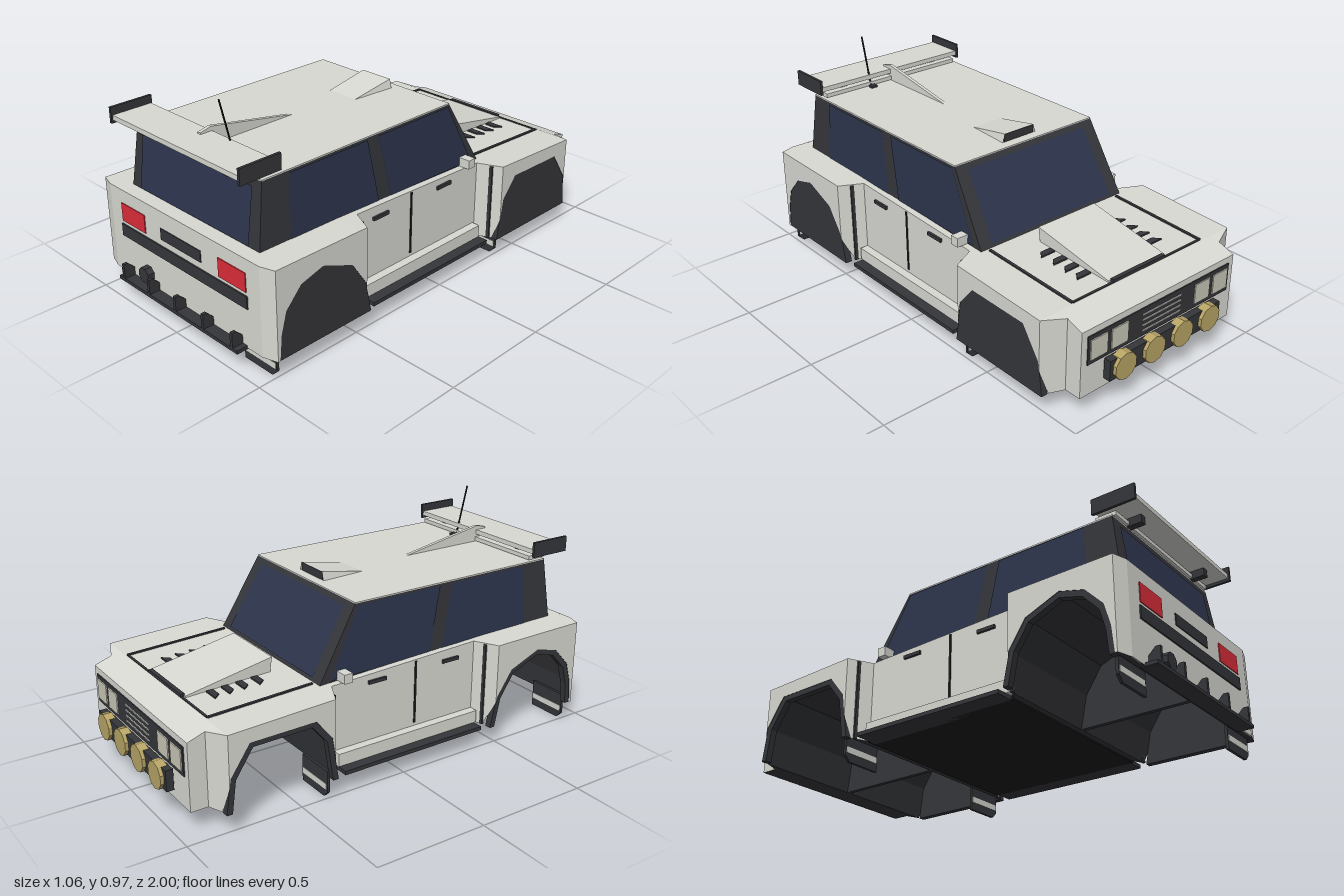
import * as THREE from 'three';

const paint = (color, extra = {}) => new THREE.MeshStandardMaterial({ color, flatShading: true, ...extra });

export function createModel() {
  const model = new THREE.Group();
  const body = paint(0xd9d9d3, { side: THREE.DoubleSide });
  const dark = paint(0x35363a, { side: THREE.DoubleSide });
  const black = paint(0x1b1b1d);
  const glass = paint(0x2d354d, { side: THREE.DoubleSide });
  const red = paint(0xdc2d3a);
  const lampGlass = paint(0xc9c8b8);
  const amber = paint(0xb8a566);

  const add = (name, geometry, material) => {
    const mesh = new THREE.Mesh(geometry, material);
    mesh.name = name;
    model.add(mesh);
    return mesh;
  };
  // box given by its extents
  const box = (name, x0, x1, y0, y1, z0, z1, material) => {
    const mesh = add(name, new THREE.BoxGeometry(x1 - x0, y1 - y0, z1 - z0), material);
    mesh.position.set((x0 + x1) / 2, (y0 + y1) / 2, (z0 + z1) / 2);
    return mesh;
  };
  // quads between consecutive rows of points
  const loft = (name, rows, material) => {
    const p = [];
    for (let i = 0; i + 1 < rows.length; i++) {
      for (let j = 0; j + 1 < rows[i].length; j++) {
        const a = rows[i][j], b = rows[i][j + 1], c = rows[i + 1][j + 1], d = rows[i + 1][j];
        p.push(...a, ...b, ...c, ...a, ...c, ...d);
      }
    }
    const g = new THREE.BufferGeometry();
    g.setAttribute('position', new THREE.Float32BufferAttribute(p, 3));
    g.computeVertexNormals();
    return add(name, g, material);
  };
  const toShape = (pts) => new THREE.Shape(pts.map(([x, y]) => new THREE.Vector2(x, y)));
  const extrude = (pts, depth) => new THREE.ExtrudeGeometry(toShape(pts), { depth, bevelEnabled: false });
  // side profile of [z, y] points, extruded across x
  const prism = (name, pts, x0, x1, material) =>
    add(name, extrude(pts, x1 - x0).rotateY(-Math.PI / 2).translate(x1, 0, 0), material);
  const interp = (keys) => (z) => {
    let i = 0;
    while (i < keys.length - 2 && z > keys[i + 1][0]) i++;
    const [[z0, v0], [z1, v1]] = [keys[i], keys[i + 1]];
    return v0 + (v1 - v0) * (z - z0) / (z1 - z0);
  };

  // Lower body: half width, top and wheel-arch bottom along its length
  const frontArch = [[-0.845, 0.09], [-0.825, 0.24], [-0.74, 0.365], [-0.45, 0.37], [-0.375, 0.28], [-0.345, 0.09]];
  const rearArch = [[0.445, 0.09], [0.475, 0.23], [0.55, 0.34], [0.7, 0.4], [0.81, 0.37], [0.885, 0.29], [0.91, 0.2], [0.92, 0.09]];
  const widthKeys = [[-0.945, 0.43], [-0.87, 0.43], [-0.83, 0.53], [-0.36, 0.53], [-0.31, 0.425],
    [0.42, 0.425], [0.47, 0.53], [0.93, 0.53], [0.95, 0.465]];
  const topKeys = [[-0.945, 0.38], [-0.83, 0.42], [-0.36, 0.44], [0.5, 0.47], [0.95, 0.475]];
  const bottomKeys = [[-0.945, 0.09], ...frontArch, ...rearArch, [0.95, 0.09]];
  const width = interp(widthKeys), top = interp(topKeys), bottom = interp(bottomKeys);
  const stations = [...new Set([...widthKeys, ...topKeys, ...bottomKeys].map((k) => k[0]))].sort((a, b) => a - b);
  loft('bodyShell', stations.map((z) => {
    const w = width(z), t = top(z), b = bottom(z);
    return [[w, b, z], [w, t, z], [-w, t, z], [-w, b, z]].reverse();
  }), body);
  loft('underbody', stations.map((z) => [[width(z), bottom(z), z], [-width(z), bottom(z), z]]), dark);
  box('noseFace', -0.43, 0.43, 0.09, 0.38, -0.945, -0.94, body);
  box('tailFace', -0.465, 0.465, 0.09, 0.475, 0.945, 0.95, body);
  box('floor', -0.43, 0.43, 0.083, 0.1, -0.31, 0.42, black);

  // Wheel wells and their trim
  for (const arch of [frontArch, rearArch]) {
    prism('wheelWellWall', arch, -0.01, 0.01, dark);
    const mid = (arch[0][0] + arch[arch.length - 1][0]) / 2;
    const inner = arch.map(([z, y]) => [mid + (z - mid) * 0.9, 0.09 + (y - 0.09) * 0.92]);
    for (const x of [-0.528, 0.498]) prism('archTrim', [...arch, ...inner.reverse()], x, x + 0.03, dark);
  }

  // Cabin
  const ring = (x, y0, z0, y1, z1) => [[x, y0, z0], [-x, y0, z0], [-x, y1, z1], [x, y1, z1], [x, y0, z0]];
  loft('cabin', [ring(0.395, 0.43, -0.351, 0.465, 0.886), ring(0.378, 0.742, -0.166, 0.742, 0.85)], dark);
  box('roof', -0.378, 0.378, 0.738, 0.747, -0.166, 0.85, body);
  const sideX = (y) => 0.399 - (y - 0.44) * 0.055;
  const frontZ = (y) => -0.35 + (y - 0.44) * 0.6;
  const rearZ = (y) => 0.889 - (y - 0.475) * 0.13;
  const pane = (name, pts) => loft(name, [[pts[0], pts[1]], [pts[3], pts[2]]], glass);
  pane('windshield', [[0.335, 0.455], [-0.335, 0.455], [-0.32, 0.722], [0.32, 0.722]].map(([x, y]) => [x, y, frontZ(y)]));
  pane('rearWindow', [[-0.335, 0.478], [0.335, 0.478], [0.335, 0.712], [-0.335, 0.712]].map(([x, y]) => [x, y, rearZ(y)]));
  for (const s of [-1, 1]) {
    const panes = [
      [[0.735, 0.473], [0.27, 0.463], [0.32, 0.735], [0.725, 0.735]],
      [[0.2, 0.461], [-0.3, 0.449], [-0.155, 0.735], [0.26, 0.735]],
    ];
    for (const pts of panes) {
      const q = pts.map(([z, y]) => [s * sideX(y), y, z]);
      pane('sideWindow', s > 0 ? q : q.reverse());
    }
  }

  // Doors, sills, mirrors, mud flaps
  for (const s of [-1, 1]) {
    const sideBox = (name, x0, x1, ...rest) => box(name, Math.min(s * x0, s * x1), Math.max(s * x0, s * x1), ...rest);
    sideBox('doorSeam', 0.42, 0.428, 0.17, 0.45, 0.103, 0.113, black);
    for (const z of [-0.34, 0.445]) {
      const x = width(z) + 0.003;
      sideBox('fenderSeam', x - 0.02, x, 0.09, top(z) - 0.005, z - 0.006, z + 0.006, dark);
    }
    for (const z of [-0.09, 0.29]) sideBox('doorHandle', 0.42, 0.435, 0.407, 0.422, z - 0.043, z + 0.043, dark);
    sideBox('sillStep', 0.4, 0.51, 0.083, 0.1, -0.3, 0.41, dark);
    sideBox('sillPanel', 0.4, 0.463, 0.1, 0.155, -0.3, 0.42, body);
    sideBox('mirror', 0.39, 0.45, 0.447, 0.487, -0.265, -0.225, body);
    for (const z of [-0.381, 0.902]) {
      const flap = [[0.318, 0], [0.475, 0], [0.5, 0.025], [0.5, 0.12], [0.318, 0.12]].map(([x, y]) => [s * x, y]);
      add('mudFlap', extrude(flap, 0.012).translate(0, 0, z), dark);
      sideBox('mudFlapStripe', 0.323, 0.495, 0.036, 0.062, z - 0.002, z + 0.014, body);
    }
  }

  // Hood scoop, seams and louvers
  prism('hoodScoop', [[-0.81, 0.42], [-0.81, 0.428], [-0.42, 0.5], [-0.43, 0.435]], -0.158, 0.158, body);
  box('scoopLip', -0.145, 0.145, 0.415, 0.434, -0.826, -0.808, dark);
  box('hoodFrontSeam', -0.36, 0.36, 0.415, 0.424, -0.826, -0.816, dark);
  for (const s of [-1, 1]) {
    const seam = box('hoodSideSeam', s * 0.36 - 0.006, s * 0.36 + 0.006, 0.427, 0.436, -0.823, -0.357, dark);
    seam.rotation.x = -0.0425;
    for (const z of [-0.71, -0.645, -0.58, -0.51]) {
      const louver = [[0.165, -0.015], [0.24, -0.015], [0.215, 0.015], [0.165, 0.015]].map(([x, d]) => [s * x, -d]);
      add('hoodLouver', extrude(louver, 0.012).rotateX(-Math.PI / 2).translate(0, top(z) - 0.006, z), dark);
    }
  }

  // Roof vent, fin and aerial
  loft('roofVent', [
    [[0.09, 0.745, -0.125], [0.08, 0.785, -0.125], [-0.08, 0.785, -0.125], [-0.09, 0.745, -0.125]],
    [[0.075, 0.745, 0.08], [0.075, 0.748, 0.08], [-0.075, 0.748, 0.08], [-0.075, 0.745, 0.08]],
  ].map((r) => r.reverse()), body);
  box('roofVentMouth', -0.08, 0.08, 0.747, 0.782, -0.122, -0.115, dark);
  prism('roofFin', [[0.36, 0.745], [0.83, 0.745], [0.83, 0.808], [0.78, 0.82]], -0.008, 0.008, body);
  box('aerialBase', 0.11, 0.14, 0.745, 0.757, 0.74, 0.765, dark);
  const aerial = add('aerial', new THREE.CylinderGeometry(0.004, 0.004, 0.228, 6), black);
  aerial.position.set(0.125, 0.863, 0.798);
  aerial.rotation.x = 0.24;

  // Rear wing
  box('wing', -0.385, 0.385, 0.78, 0.801, 0.775, 0.955, body);
  box('wingLowerBlade', -0.365, 0.365, 0.75, 0.768, 0.77, 0.86, body);
  for (const s of [-1, 1]) {
    box('wingEndPlate', s * 0.39 - 0.006, s * 0.39 + 0.006, 0.767, 0.835, 0.77, 0.962, dark);
    box('wingSupport', s * 0.255 - 0.015, s * 0.255 + 0.015, 0.745, 0.782, 0.8, 0.915, dark);
  }

  // Tail: lights, plate, bumper strip, exhaust, diffuser
  for (const s of [-1, 1]) box('tailLight', s * 0.31 - 0.079, s * 0.31 + 0.079, 0.335, 0.416, 0.94, 0.954, red);
  box('rearPlate', -0.126, 0.126, 0.35, 0.4, 0.94, 0.954, dark);
  box('rearBumperStrip', -0.395, 0.395, 0.266, 0.32, 0.94, 0.956, dark);
  const exhaust = add('exhaust', new THREE.CylinderGeometry(0.035, 0.035, 0.05, 8).rotateY(Math.PI / 8).rotateX(Math.PI / 2), dark);
  exhaust.position.set(-0.232, 0.153, 0.955);
  box('diffuser', -0.38, 0.38, 0.085, 0.1, 0.93, 1, dark);
  for (const x of [-0.347, -0.174, 0, 0.174, 0.347]) {
    prism('diffuserFin', [[0.945, 0.09], [1, 0.09], [1, 0.165], [0.98, 0.165], [0.945, 0.13]], x - 0.007, x + 0.007, dark);
  }

  // Nose: grille, headlights and lamp bar
  box('grillePanel', -0.4, 0.4, 0.228, 0.352, -0.95, -0.94, dark);
  for (let i = 0; i < 4; i++) box('grilleSlat', -0.11, 0.11, 0.25 + i * 0.024, 0.256 + i * 0.024, -0.954, -0.945, body);
  for (const x of [-0.345, -0.235, 0.235, 0.345]) box('headlight', x - 0.044, x + 0.044, 0.247, 0.335, -0.955, -0.945, lampGlass);
  box('lampBar', -0.315, 0.315, 0.135, 0.225, -0.985, -0.953, dark);
  box('lampBarMount', -0.25, 0.25, 0.16, 0.2, -0.96, -0.94, dark);
  for (const x of [-0.243, -0.081, 0.081, 0.243]) {
    const lamp = add('roundLamp', new THREE.CylinderGeometry(0.058, 0.058, 0.04, 10).rotateX(Math.PI / 2), amber);
    lamp.position.set(x, 0.18, -0.98);
  }
  return model;
}
